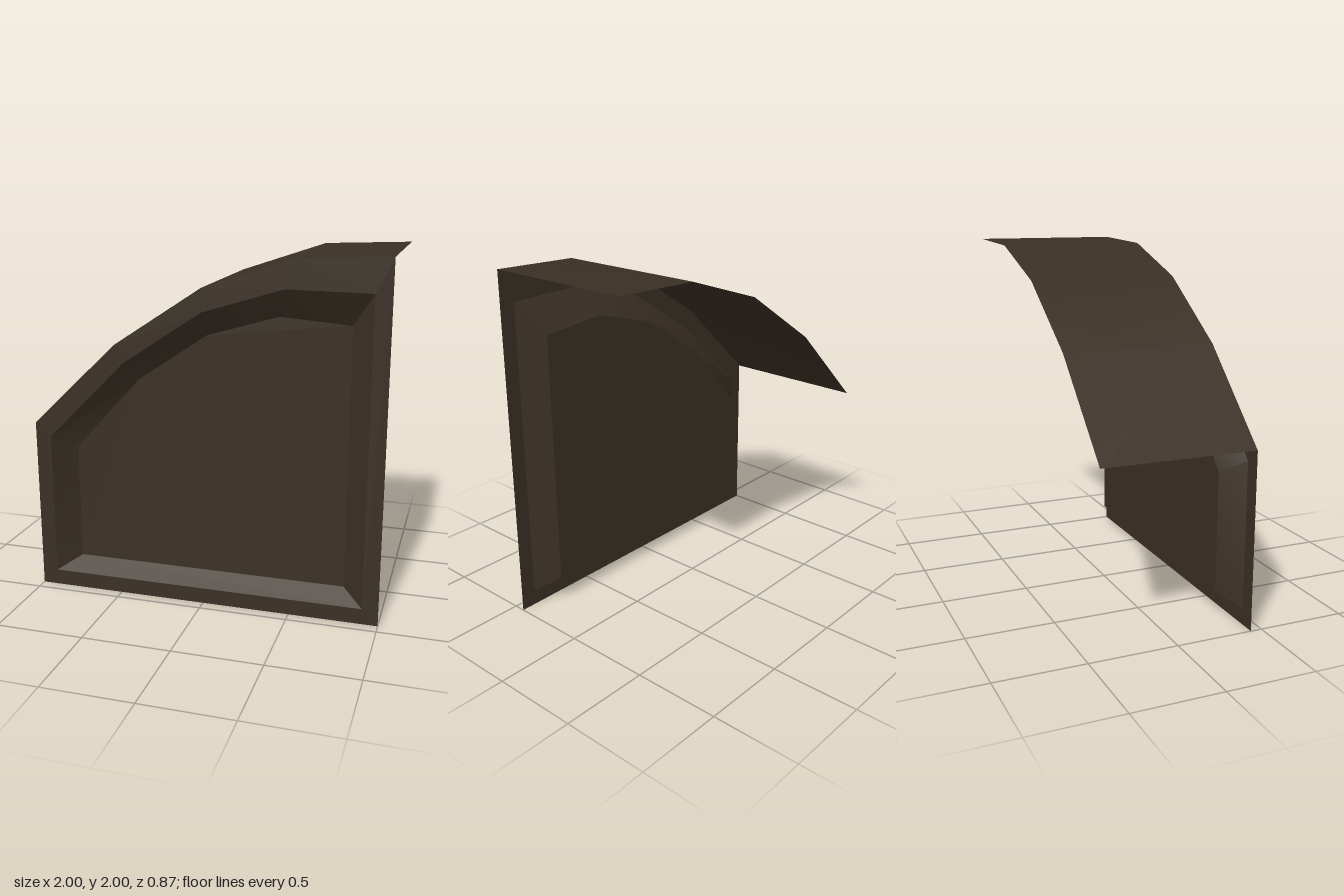
import * as THREE from 'three';
import { toCreasedNormals } from 'three/addons/utils/BufferGeometryUtils.js';

const FRONT = 0.435, PANEL = 0.33, BACK = -0.435;

// Outlines run counter-clockwise seen from the front
const arch = [[1, 2], [0.5, 1.98], [0, 1.81], [-0.5, 1.48], [-1, 1]];
const outer = [[-1, 0], [1, 0], ...arch];
const rim = [[-0.91, 0.09], [0.91, 0.09], [0.91, 1.815], [0.45, 1.82], [0, 1.68], [-0.45, 1.38], [-0.91, 0.92]];
const inset = [[-0.79, 0.16], [0.79, 0.16], [0.79, 1.63], [0.4, 1.66], [0, 1.54], [-0.4, 1.27], [-0.79, 0.84]];

// Surface between two matching outlines at different depths
function strip(a, za, b, zb, closed) {
  const n = a.length, pos = [], index = [];
  a.forEach(([x, y], i) => pos.push(x, y, za, b[i][0], b[i][1], zb));
  for (let i = 0; i < (closed ? n : n - 1); i++) {
    const p = 2 * i, q = 2 * ((i + 1) % n);
    index.push(p, q, p + 1, q, q + 1, p + 1);
  }
  const g = new THREE.BufferGeometry();
  g.setAttribute('position', new THREE.Float32BufferAttribute(pos, 3));
  g.setIndex(index);
  return toCreasedNormals(g, 0.5);
}

export function createModel() {
  const group = new THREE.Group();
  group.name = 'archedPanelBlock';
  const brown = new THREE.MeshStandardMaterial({ color: 0x3a3025, side: THREE.DoubleSide });
  brown.name = 'dark brown';

  const add = (name, geometry) => {
    const mesh = new THREE.Mesh(geometry, brown);
    mesh.name = name;
    group.add(mesh);
    return mesh;
  };

  // Flat border, sloped recess and sunken panel
  add('frontFrame', strip(outer, FRONT, rim, FRONT, true));
  add('recessBevel', strip(rim, FRONT, inset, PANEL, true));
  const shape = new THREE.Shape(inset.map(([x, y]) => new THREE.Vector2(x, y)));
  add('recessedPanel', new THREE.ShapeGeometry(shape)).position.z = PANEL;

  // Curved top sheet running to the back
  add('curvedTop', strip(arch, BACK, arch, FRONT, false));
  return group;
}
